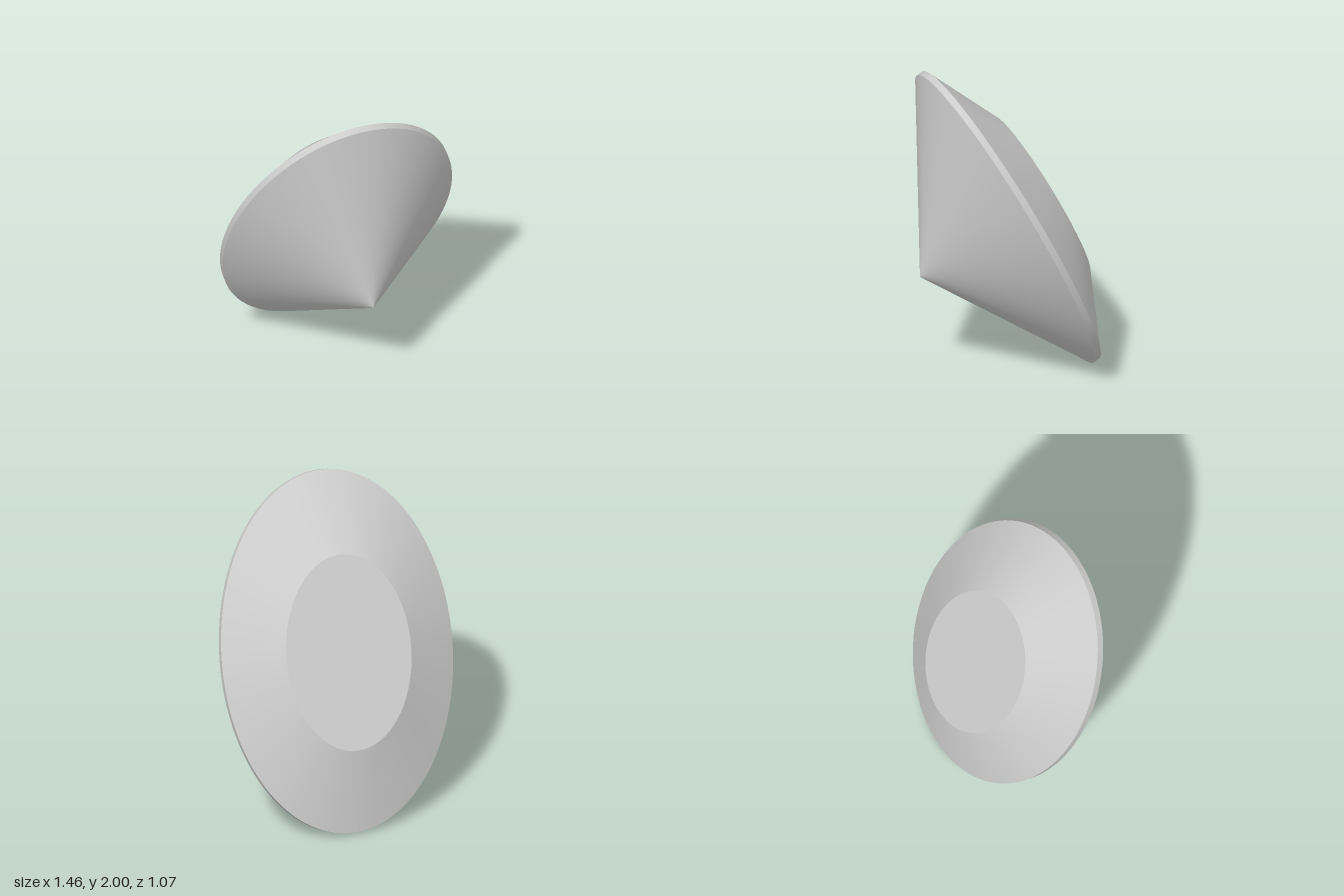
import * as THREE from 'three';

export function createModel() {
  const model = new THREE.Group();
  const gem = new THREE.Group();
  gem.name = 'ovalCutGem';
  model.add(gem);

  const material = new THREE.MeshStandardMaterial({ color: 0xcccccc });

  // Profile rings from the point to the flat table: [radius, height along the gem axis]
  const rings = [[0, -0.626], [1, 0], [1, 0.041], [0.54, 0.267], [0, 0.267]];
  const names = ['pavilion', 'girdle', 'crown', 'table'];

  // One smooth band per pair of rings, so the edges between bands stay sharp
  names.forEach((name, i) => {
    const band = [rings[i], rings[i + 1]].map(([r, y]) => new THREE.Vector2(r, y));
    const geometry = new THREE.LatheGeometry(band, 128);
    geometry.scale(0.7295, 1, 1.095); // oval outline
    const mesh = new THREE.Mesh(geometry, material);
    mesh.name = name;
    gem.add(mesh);
  });

  // Twist the oval a little about its axis, then lean the table up and back
  gem.rotation.set(-1.134, -0.075, 0);
  gem.position.set(0, 0.995, -0.0325);
  return model;
}
